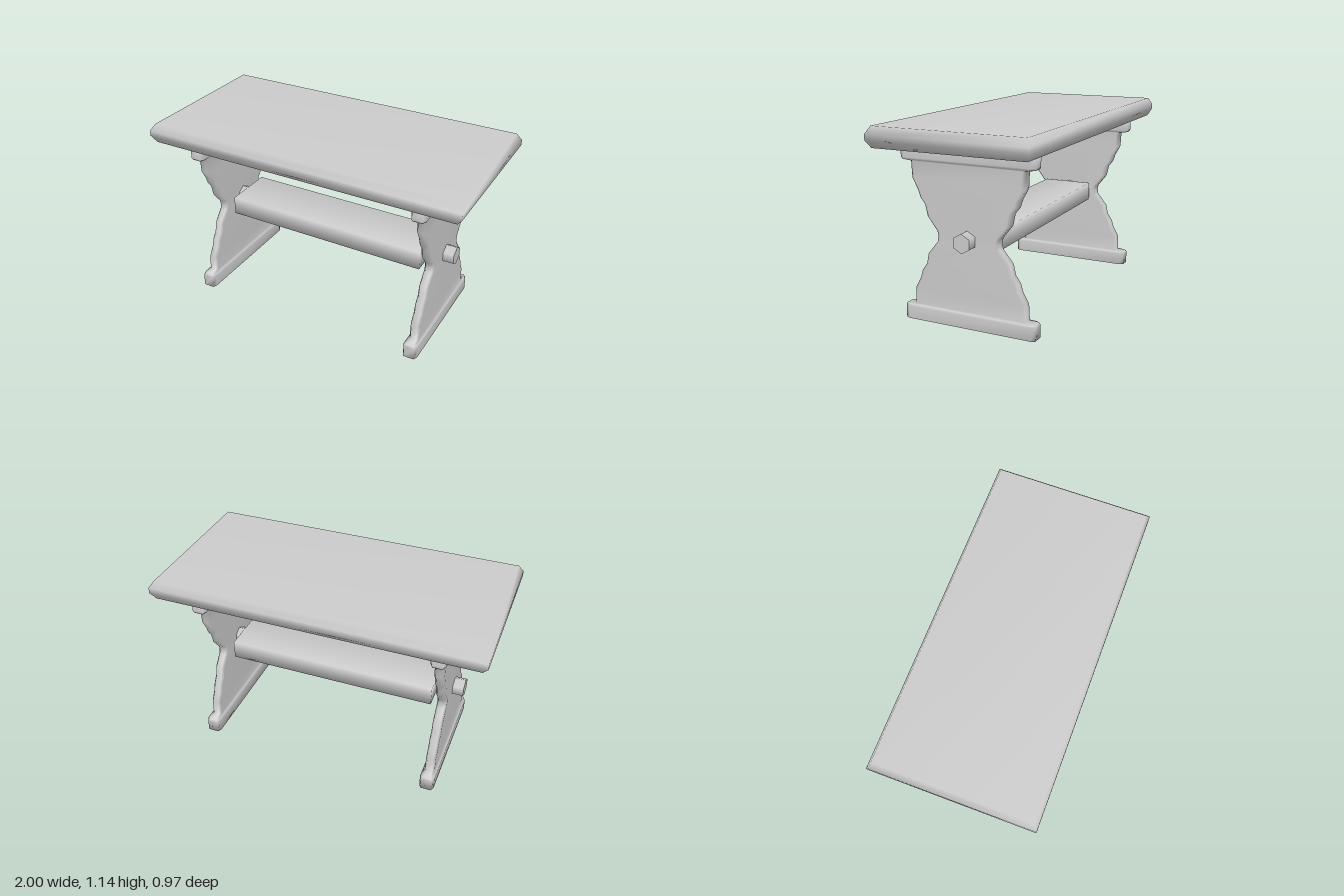
import * as THREE from 'three';

const material = new THREE.MeshStandardMaterial({ color: 0xcccccc });

// Rectangle outline in x/z, with its corners cut by cx, cz when given
function ring(hx, hz, cx, cz) {
  if (!cx) return [[hx, hz], [hx, -hz], [-hx, -hz], [-hx, hz]];
  return [
    [hx - cx, hz], [hx, hz - cz], [hx, cz - hz], [hx - cx, -hz],
    [cx - hx, -hz], [-hx, cz - hz], [-hx, hz - cz], [cx - hx, hz],
  ];
}

// Closed smooth solid from stacked sections [y, halfX, halfZ, cutX, cutZ]
function loft(rows) {
  const positions = [], index = [];
  let n = 0;
  for (const [y, hx, hz, cx = 0, cz = 0] of rows) {
    const points = ring(hx, hz, cx, cz);
    n = points.length;
    for (const [x, z] of points) positions.push(x, y, z);
  }
  for (let r = 0; r < rows.length - 1; r++) {
    for (let i = 0; i < n; i++) {
      const a = r * n + i, b = r * n + (i + 1) % n;
      index.push(a, b, b + n, a, b + n, a + n);
    }
  }
  const top = (rows.length - 1) * n;
  for (let i = 1; i < n - 1; i++) {
    index.push(0, i + 1, i, top, top + i, top + i + 1);
  }
  const geometry = new THREE.BufferGeometry();
  geometry.setAttribute('position', new THREE.Float32BufferAttribute(positions, 3));
  geometry.setIndex(index);
  geometry.computeVertexNormals();
  return geometry;
}

function addMesh(parent, name, geometry, x = 0, y = 0, z = 0) {
  const mesh = new THREE.Mesh(geometry, material);
  mesh.name = name;
  mesh.position.set(x, y, z);
  parent.add(mesh);
  return mesh;
}

export function createModel() {
  const table = new THREE.Group();
  table.name = 'trestleTable';

  // Slab with bevelled edges
  addMesh(table, 'tableTop', loft([
    [1.025, 0.97, 0.462], [1.068, 1, 0.483], [1.102, 1, 0.483], [1.145, 0.97, 0.462],
  ]));

  // Scalloped panel: height and half depth
  const panel = [
    [0.095, 0.357], [0.19, 0.352], [0.25, 0.318], [0.3, 0.303], [0.343, 0.273],
    [0.404, 0.26], [0.48, 0.198], [0.513, 0.192], [0.543, 0.198], [0.62, 0.258],
    [0.687, 0.273], [0.726, 0.303], [0.77, 0.318], [0.833, 0.352], [0.93, 0.357],
  ].map(([y, hz]) => [y, 0.03, hz, 0.012, 0.02]);

  // Trestle: foot, panel and upper rail in one solid
  const trestle = loft([
    [0, 0.045, 0.414, 0.012, 0.025],
    [0.075, 0.045, 0.414, 0.012, 0.025],
    [0.088, 0.039, 0.41, 0.012, 0.025],
    ...panel,
    [0.938, 0.039, 0.41, 0.012, 0.025],
    [0.95, 0.045, 0.414, 0.012, 0.025],
    [1.027, 0.045, 0.414, 0.012, 0.025],
  ]);

  const shift = 0.007, barY = 0.513;
  for (const [side, name] of [[1, 'left'], [-1, 'right']]) {
    addMesh(table, name + 'Trestle', trestle, shift + side * 0.728, 0, 0.004);

    // Six-sided tenon passing through the trestle
    const tenon = new THREE.CylinderGeometry(0.057, 0.057, 0.18, 6);
    tenon.rotateZ(Math.PI / 2);
    tenon.rotateX(Math.PI / 2);
    tenon.computeBoundingBox();
    const size = tenon.boundingBox.getSize(new THREE.Vector3());
    if (size.z > size.y) tenon.rotateX(Math.PI / 2); // keep a corner upward
    addMesh(table, name + 'Tenon', tenon, shift + side * 0.735, barY, 0.004);
  }

  // Wide stretcher between the trestles
  addMesh(table, 'stretcher', loft([
    [-0.058, 0.657, 0.16], [0.058, 0.657, 0.16],
  ]), shift, barY, 0.004);

  return table;
}
